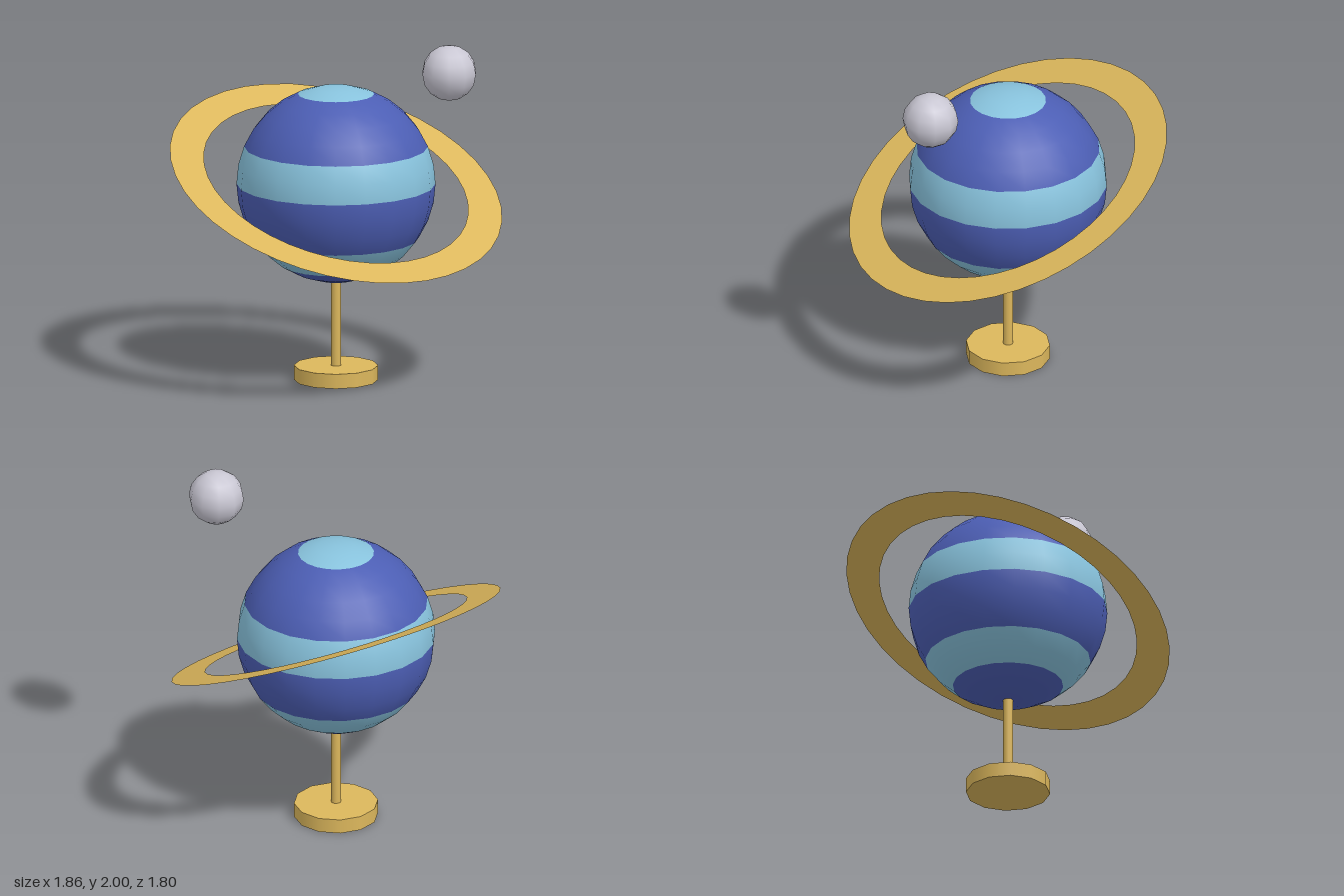
import * as THREE from 'three';

const paint = (name, color, side = THREE.FrontSide) => {
  const m = new THREE.MeshStandardMaterial({ color, side });
  m.name = name;
  return m;
};

export function createModel() {
  const model = new THREE.Group();
  model.name = 'planetOnStand';
  const blue = paint('deepBlue', 0x4c5eb4);
  const sky = paint('paleBlue', 0x88c3dd);
  const gold = paint('gold', 0xdcb75c, THREE.DoubleSide);
  const grey = paint('moonGrey', 0xc9c7d3);

  const add = (name, geometry, material, x, y, z, parent = model) => {
    const mesh = new THREE.Mesh(geometry, material);
    mesh.name = name;
    mesh.position.set(x, y, z);
    parent.add(mesh);
    return mesh;
  };

  // Banded planet: latitude rows out of 16 where the colour changes
  const planet = new THREE.Group();
  planet.name = 'planet';
  planet.position.y = 1.125;
  model.add(planet);
  const rows = [0, 2, 6, 8, 11, 13, 16];
  const step = Math.PI / 16;
  for (let i = 0; i < rows.length - 1; i++) {
    const count = rows[i + 1] - rows[i];
    const band = new THREE.SphereGeometry(0.557, 20, count, 0, Math.PI * 2, rows[i] * step, count * step);
    add(`planetBand${i + 1}`, band, i % 2 ? blue : sky, 0, 0, 0, planet);
  }

  // Flat tilted ring
  const ring = add('ring', new THREE.RingGeometry(0.762, 0.957, 40), gold, 0, 1.125, 0);
  ring.geometry.rotateX(-Math.PI / 2);
  ring.quaternion.setFromUnitVectors(
    new THREE.Vector3(0, 1, 0), new THREE.Vector3(0.237, 0.91, 0.34).normalize());

  // Moon
  const moon = add('moon', new THREE.SphereGeometry(0.157, 10, 8), grey, 0.636, 1.843, 0.358);
  moon.rotation.y = Math.PI / 2;

  // Stand
  add('standPole', new THREE.CylinderGeometry(0.028, 0.028, 0.52, 12), gold, 0, 0.335, 0);
  add('standBase', new THREE.CylinderGeometry(0.236, 0.236, 0.083, 12), gold, 0, 0.0415, 0);
  return model;
}
